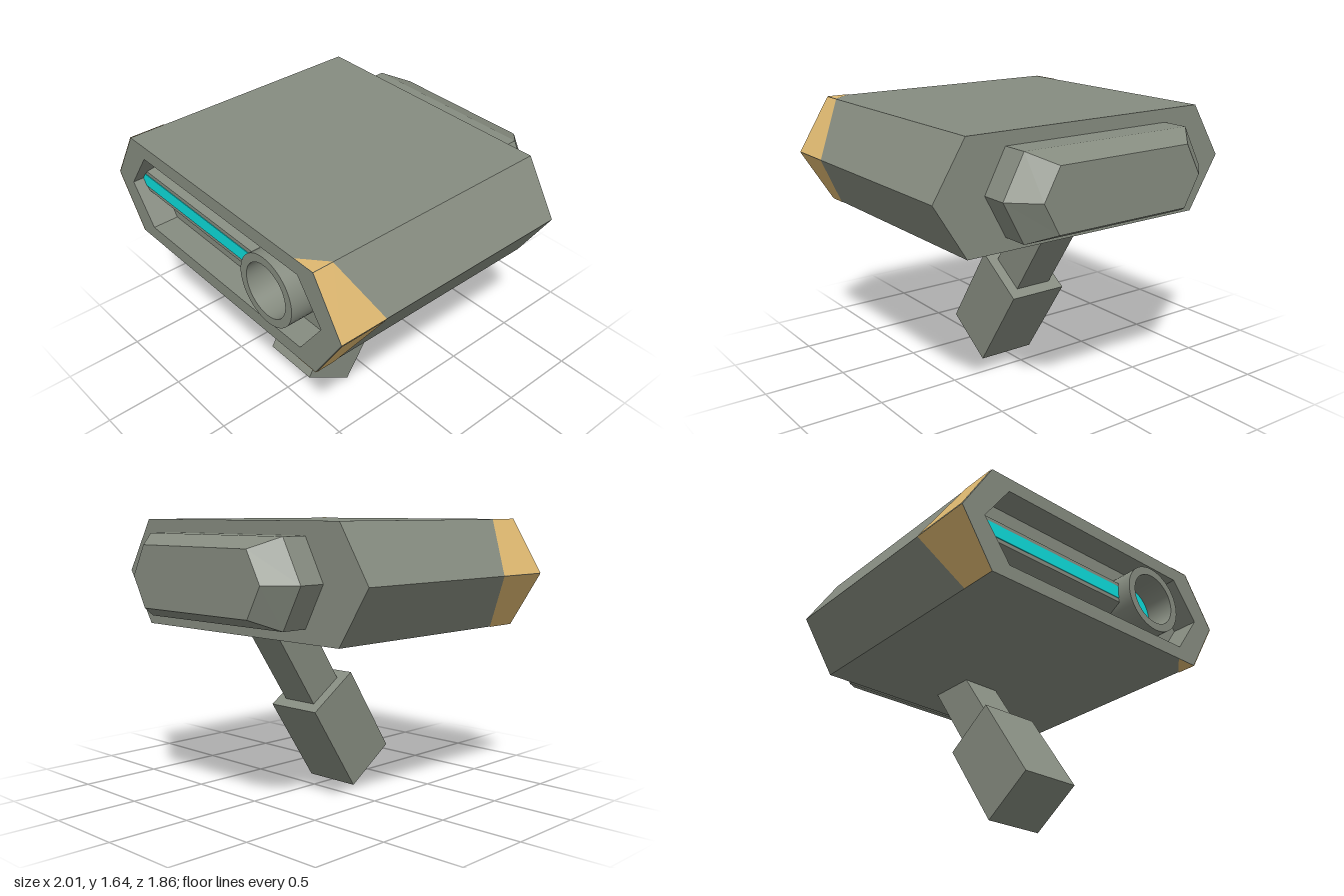
import * as THREE from 'three';
import { toCreasedNormals } from 'three/addons/utils/BufferGeometryUtils.js';

const MID = 1.32; // height of the head's centre line

// Hexagon corners, counter-clockwise from +z: tip half-width, corner half-width, half-height, z
const hexRing = ([tip, w, h, z]) =>
  [[tip, 0], [w, h], [-w, h], [-tip, 0], [-w, -h], [w, -h]].map(([x, y]) => [x, MID + y, z]);

// Faceted geometry from convex polygons
function facets(polygons) {
  const pos = [];
  for (const p of polygons) {
    for (let i = 1; i < p.length - 1; i++) pos.push(...p[0], ...p[i], ...p[i + 1]);
  }
  const g = new THREE.BufferGeometry();
  g.setAttribute('position', new THREE.Float32BufferAttribute(pos, 3));
  g.computeVertexNormals();
  return g;
}

// Capped loft through hexagon rings
function hexLoft(sections) {
  const rings = sections.map(hexRing);
  const polys = [[...rings[0]].reverse(), rings[rings.length - 1]];
  for (let r = 0; r < rings.length - 1; r++) {
    for (let i = 0; i < 6; i++) {
      const j = (i + 1) % 6;
      polys.push([rings[r][i], rings[r][j], rings[r + 1][j], rings[r + 1][i]]);
    }
  }
  return facets(polys);
}

export function createModel() {
  const grey = new THREE.MeshStandardMaterial({ color: 0x868c80 });
  grey.name = 'grey green shell';
  const ochre = new THREE.MeshStandardMaterial({ color: 0xdeb870, side: THREE.DoubleSide });
  ochre.name = 'ochre paint';
  const cyan = new THREE.MeshStandardMaterial({ color: 0x0ddcdb });
  cyan.name = 'cyan glow';

  const model = new THREE.Group();
  model.name = 'sensorHead';
  const add = (name, geometry, material, parent = model) => {
    const m = new THREE.Mesh(geometry, material);
    m.name = name;
    parent.add(m);
    return m;
  };

  // Head shell with a recessed face
  add('headShell', hexLoft([
    [1, 0.8, 0.32, -0.63], [1, 0.8, 0.32, 0.91],
    [0.85, 0.68, 0.235, 0.91], [0.85, 0.68, 0.235, 0.75],
  ]), grey);

  // Tapered housing at the back
  add('rearHousing', hexLoft([
    [0.54, 0.44, 0.18, -0.93], [0.69, 0.56, 0.242, -0.79], [0.69, 0.56, 0.242, -0.62],
  ]), grey);

  // Chamfered rail across the recess, profile in (z, y)
  const railShape = new THREE.Shape([
    [0.74, -0.1], [0.75, -0.1], [0.84, -0.065], [0.84, 0.065], [0.75, 0.1], [0.74, 0.1],
  ].map(([z, y]) => new THREE.Vector2(-z, y)));
  const rail = add('rail', new THREE.ExtrudeGeometry(railShape, { depth: 1.12, bevelEnabled: false }), grey);
  rail.rotation.y = Math.PI / 2;
  rail.position.set(-0.86, MID, 0);
  const strip = add('lightStrip', new THREE.BoxGeometry(1.1, 0.08, 0.006), cyan);
  strip.position.set(-0.31, MID, 0.841);

  // Round eye: open tube with a glowing lens at the bottom
  const eye = new THREE.Group();
  eye.name = 'eye';
  eye.position.set(0.44, MID - 0.005, 0.75);
  model.add(eye);
  const ring = new THREE.Shape().absarc(0, 0, 0.21, 0, Math.PI * 2);
  ring.holes.push(new THREE.Path().absarc(0, 0, 0.16, 0, Math.PI * 2, true));
  add('eyeRing', toCreasedNormals(
    new THREE.ExtrudeGeometry(ring, { depth: 0.18, bevelEnabled: false, curveSegments: 24 }), 0.6), grey, eye);
  add('eyeLens', new THREE.CircleGeometry(0.165, 40), cyan, eye).position.z = 0.005;

  // Painted front corners: edge and ridge are the z where the paint ends
  const lift = 0.003;
  for (const [side, edge, ridge, name] of [[1, 0.79, 0.62, 'leftPaint'], [-1, 0.69, 0.53, 'rightPaint']]) {
    for (const up of [1, -1]) {
      const face = [[1, 0, 0.91], [1, 0, ridge], [0.8, 0.32, edge], [0.8, 0.32, 0.91]]
        .map(([x, y, z]) => [side * (x + lift), MID + up * (y + lift * 0.6), z]);
      if (side * up < 0) face.reverse();
      add(name, facets([face]), ochre);
      if (side > 0) {
        const tri = [[0.8, edge], [0.66, 0.91], [0.8, 0.91]].map(([x, z]) => [x, MID + up * (0.32 + lift), z]);
        if (up < 0) tri.reverse();
        add('paintCorner', facets([tri]), ochre);
      }
    }
  }

  // Tilted neck and grip
  const handle = new THREE.Group();
  handle.name = 'handle';
  handle.position.set(0, 0.358, 0.145);
  handle.rotation.x = -0.588;
  model.add(handle);
  add('grip', new THREE.BoxGeometry(0.37, 0.613, 0.372), grey, handle);
  add('neck', new THREE.BoxGeometry(0.24, 0.65, 0.244), grey, handle).position.y = 0.6;

  return model;
}
